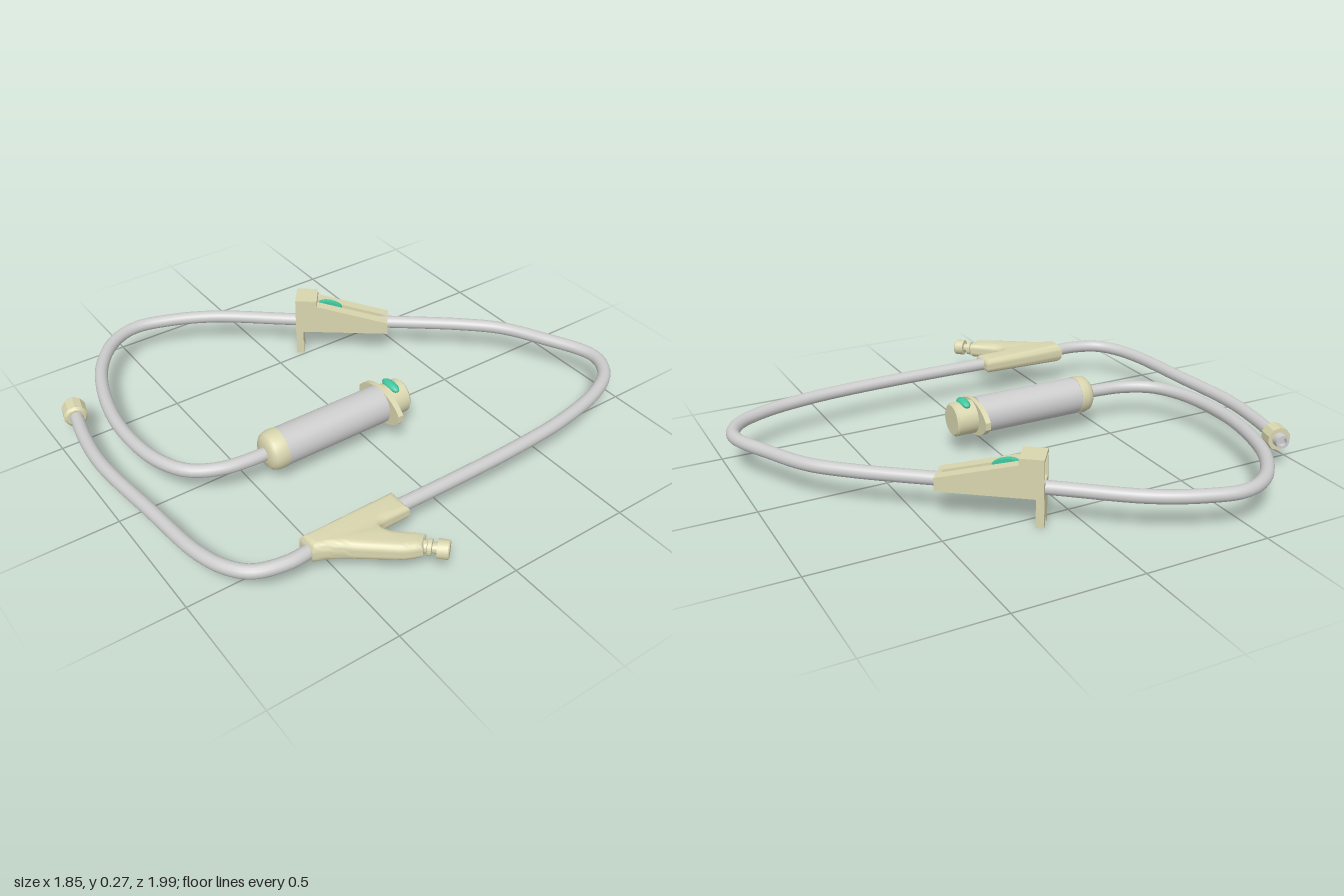
import * as THREE from 'three';
import { toCreasedNormals } from 'three/addons/utils/BufferGeometryUtils.js';

const grey = new THREE.MeshStandardMaterial({ color: 0xcccccc });
const cream = new THREE.MeshStandardMaterial({ color: 0xd8d5ae });
const teal = new THREE.MeshStandardMaterial({ color: 0x40c8a0 });
const TUBE_R = 0.026;

function add(parent, name, geometry, material, x = 0, y = 0, z = 0) {
  const mesh = new THREE.Mesh(geometry, material);
  mesh.name = name;
  mesh.position.set(x, y, z);
  parent.add(mesh);
  return mesh;
}

// Turned part lying along local +z, profile given as [radius, z]
function turned(profile, sides = 32) {
  const g = new THREE.LatheGeometry(profile.map(p => new THREE.Vector2(...p)), sides);
  return toCreasedNormals(g.rotateX(Math.PI / 2), 0.6);
}

function polygon(points) {
  return new THREE.Shape(points.map(p => new THREE.Vector2(...p)));
}

function hose(parent, name, points, segments) {
  const curve = new THREE.CatmullRomCurve3(points.map(([x, z, y = 0.145]) => new THREE.Vector3(x, y, z)));
  add(parent, name, new THREE.TubeGeometry(curve, segments, TUBE_R, 14), grey);
}

// Drip chamber with spike flange, vent cap and lower collar
function dripChamber() {
  const g = new THREE.Group();
  g.name = 'dripChamber';
  g.position.set(0.127, 0.145, 0);
  add(g, 'chamberBody', turned([[0, -0.06], [0.075, -0.06], [0.075, 0.4], [0, 0.4]]), grey);
  add(g, 'chamberCollar', turned([[0, 0.395], [0.077, 0.395], [0.077, 0.425], [0.071, 0.445], [0.058, 0.457], [0.03, 0.463], [0, 0.463]]), cream);
  add(g, 'topCap', turned([[0, -0.168], [0.06, -0.168], [0.068, -0.16], [0.068, -0.075], [0, -0.075]]), cream);
  // pointed oval finger flange
  const s = new THREE.Shape();
  s.moveTo(-0.128, -0.015);
  s.bezierCurveTo(-0.07, -0.09, 0.07, -0.09, 0.128, -0.015);
  s.lineTo(0.128, 0.015);
  s.bezierCurveTo(0.07, 0.09, -0.07, 0.09, -0.128, 0.015);
  s.closePath();
  add(g, 'fingerFlange', toCreasedNormals(new THREE.ExtrudeGeometry(s, { depth: 0.022, bevelEnabled: false, curveSegments: 16 }), 0.6), cream, 0, 0, -0.08);
  // vent plug on top of the cap
  add(g, 'ventPlug', new THREE.SphereGeometry(1, 16, 10).scale(0.048, 0.018, 0.021), teal, 0, 0.063, -0.115);
  return g;
}

// Wedge-shaped roller clamp, local x runs along the hose
function rollerClamp() {
  const g = new THREE.Group();
  g.name = 'rollerClamp';
  g.position.set(-0.555, 0, -0.125);
  g.rotation.y = Math.atan2(0.79, 0.61);
  const box = (name, x0, x1, y0, y1, z0, z1) => add(g, name,
    new THREE.BoxGeometry(x1 - x0, y1 - y0, z1 - z0), cream, (x0 + x1) / 2, (y0 + y1) / 2, (z0 + z1) / 2);

  // hollow end block
  box('blockBase', 0, 0.09, 0.118, 0.172, -0.052, 0.052);
  box('blockTop', 0, 0.09, 0.258, 0.27, -0.052, 0.052);
  box('blockBack', 0.06, 0.09, 0.17, 0.26, -0.045, 0.045);
  for (const s of [-1, 1]) box('blockSide', 0, 0.09, 0.17, 0.26, s * 0.046 - 0.006, s * 0.046 + 0.006);

  // sloping rails either side of the roller slot
  const slab = (name, drop, z, depth) => add(g, name, new THREE.ExtrudeGeometry(
    polygon([[0.09, 0.118], [0.39, 0.118], [0.39, 0.17 - drop], [0.09, 0.244 - drop]]),
    { depth, bevelEnabled: false }), cream, 0, 0, z);
  slab('rail', 0, -0.052, 0.041);
  slab('rail', 0, 0.011, 0.041);
  slab('slotFloor', 0.025, -0.011, 0.022);
  box('slotEnd', 0.37, 0.39, 0.12, 0.17, -0.012, 0.012);

  // thumb roller
  const wheel = add(g, 'roller', new THREE.CylinderGeometry(0.05, 0.05, 0.02, 24).rotateX(Math.PI / 2).scale(1, 0.45, 1), teal, 0.145, 0.221, 0);
  wheel.rotation.z = -0.24;

  // hanging leg with a notch at its foot
  const leg = polygon([[-0.038, 0], [-0.009, 0], [-0.009, 0.025], [0.009, 0.025], [0.009, 0], [0.038, 0], [0.038, 0.12], [-0.038, 0.12]]);
  add(g, 'hangingLeg', new THREE.ExtrudeGeometry(leg, { depth: 0.03, bevelEnabled: false }).rotateY(Math.PI / 2), cream);
  return g;
}

// Y-shaped injection port
function yPort() {
  const g = new THREE.Group();
  g.name = 'yPort';
  const s = new THREE.Shape();
  s.moveTo(0.58, -0.22);
  s.lineTo(0.59, -0.61);
  s.lineTo(0.668, -0.61);
  s.quadraticCurveTo(0.69, -0.54, 0.74, -0.485);
  s.lineTo(0.83, -0.37);
  s.quadraticCurveTo(0.85, -0.34, 0.862, -0.303);
  s.lineTo(0.812, -0.25);
  s.lineTo(0.735, -0.335);
  s.quadraticCurveTo(0.685, -0.375, 0.685, -0.32);
  s.lineTo(0.685, -0.22);
  s.closePath();
  const geo = new THREE.ExtrudeGeometry(s, {
    depth: 0.02, bevelThickness: 0.03, bevelSize: 0.028, bevelOffset: -0.028, bevelSegments: 5, curveSegments: 8
  });
  geo.translate(0, 0, -0.01).rotateX(-Math.PI / 2);
  // slimmer towards the far end
  const p = geo.attributes.position;
  for (let i = 0; i < p.count; i++) p.setY(i, p.getY(i) * (1.08 - 0.75 * (0.61 - p.getZ(i))));
  add(g, 'portBody', toCreasedNormals(geo, 0.7), cream, 0, 0.146, 0);

  // threaded neck and tip on the branch
  const tip = add(g, 'portTip', turned([
    [0, -0.06], [0.03, -0.06], [0.03, -0.01], [0.022, -0.008], [0.022, 0.006], [0.029, 0.008], [0.029, 0.022],
    [0.018, 0.024], [0.018, 0.04], [0.034, 0.041], [0.034, 0.078], [0.03, 0.082], [0, 0.082]], 20),
    cream, 0.842, 0.145, 0.277);
  tip.rotation.y = Math.atan2(0.73, -0.68);
  return g;
}

// End fitting: faceted collar with a hollow tip
function endFitting() {
  const g = new THREE.Group();
  g.name = 'endFitting';
  g.position.set(-0.535, 0.116, 0.914);
  g.rotation.y = Math.atan2(-0.97, -0.25);
  add(g, 'collar', turned([[0, -0.035], [0.036, -0.035], [0.047, -0.026], [0.047, 0.035], [0, 0.035]], 10), cream);
  add(g, 'tip', turned([[0, 0.03], [0.029, 0.03], [0.027, 0.066], [0.017, 0.066], [0.017, 0.045], [0, 0.045]], 16), grey);
  return g;
}

export function createModel() {
  const model = new THREE.Group();
  model.name = 'infusionSet';

  // long hose from the chamber through the clamp to the port, as [x, z, y]
  hose(model, 'mainHose', [
    [0.13, 0.44], [0.128, 0.52], [0.11, 0.63], [0.05, 0.735], [-0.07, 0.8], [-0.28, 0.825], [-0.5, 0.795],
    [-0.71, 0.715], [-0.855, 0.59], [-0.9, 0.47], [-0.865, 0.32], [-0.78, 0.15], [-0.58, -0.1], [-0.44, -0.275],
    [-0.29, -0.47], [-0.12, -0.68], [0, -0.8], [0.15, -0.885], [0.37, -0.974], [0.48, -0.925], [0.555, -0.8],
    [0.61, -0.57], [0.632, -0.3], [0.637, 0], [0.635, 0.26]], 160);

  // short hose from the port to the end fitting
  hose(model, 'endHose', [
    [0.635, 0.58], [0.643, 0.68], [0.61, 0.8, 0.143], [0.54, 0.862, 0.14], [0.42, 0.905, 0.136],
    [0.15, 0.935, 0.13], [-0.18, 0.965, 0.123], [-0.36, 0.95, 0.118], [-0.54, 0.913, 0.116]], 70);

  model.add(dripChamber(), rollerClamp(), yPort(), endFitting());
  return model;
}
